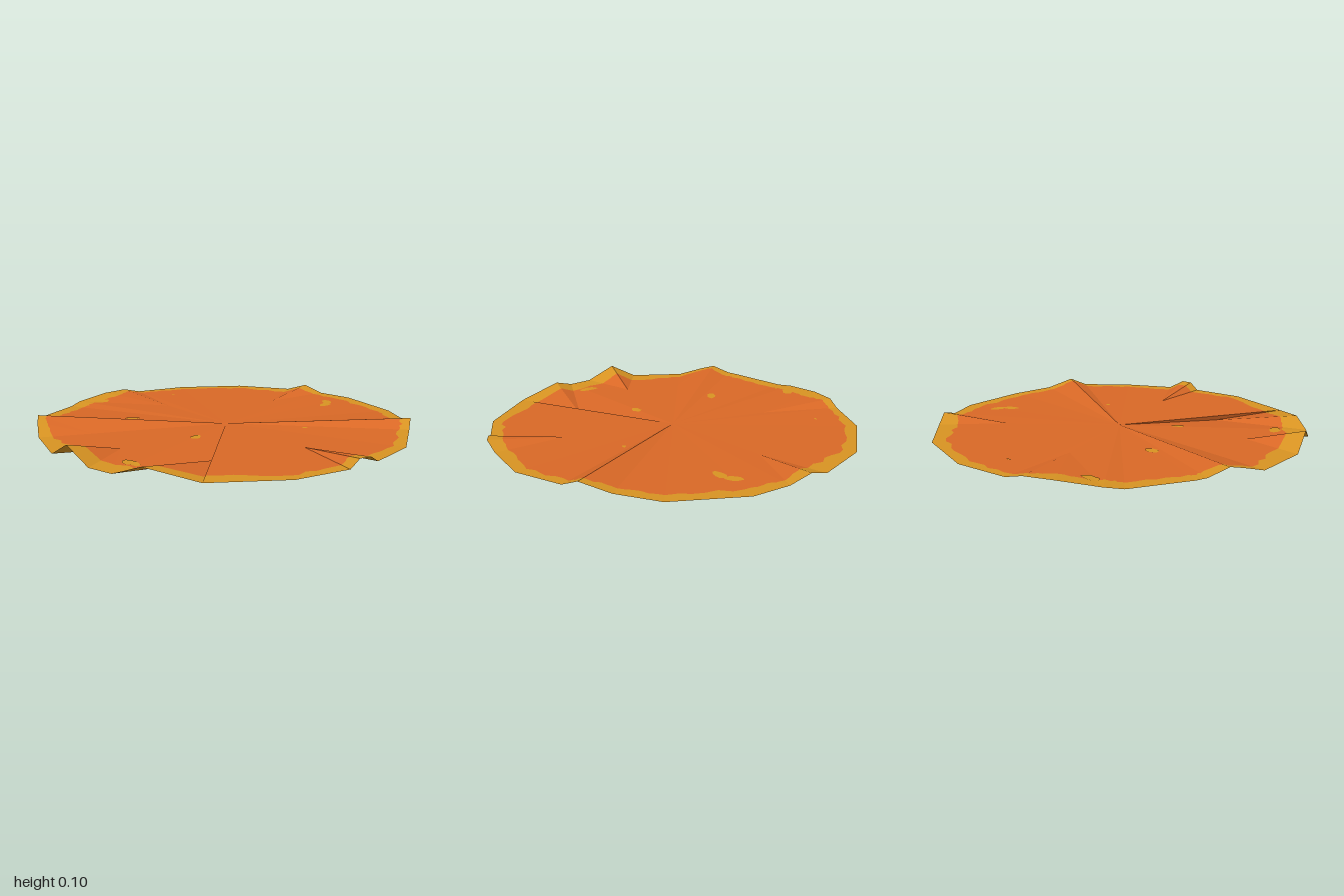
import * as THREE from 'three';

const orange = new THREE.MeshStandardMaterial({ name: 'orange', color: 0xd96826, side: THREE.DoubleSide, flatShading: true });
const amber = new THREE.MeshStandardMaterial({ name: 'amber', color: 0xd79322, side: THREE.DoubleSide, flatShading: true });

// Sections of the wavy disc in order round the rim.
// hub: inner end of a fold [x, y, z]; rim: points [x, y, z, border width].
// Each section starts at the last rim point of the one before it.
const CENTRE = [0, 0.027, 0];
const SECTIONS = [
  { rim: [[1, 0.027, 0, 0.08], [0.92, 0.027, 0.38, 0.07], [0.79, 0.04, 0.57, 0.06], [0.7, 0.08, 0.7, 0.05],
    [0.62, 0.04, 0.755, 0.05], [0.38, 0.027, 0.92, 0.06], [0.1, 0.027, 0.975, 0.07]] },
  { hub: [0, 0.027, 0.6], rim: [[0.02, 0.07, 1, 0.08], [-0.04, 0.07, 0.985, 0.07], [-0.09, 0.027, 0.975, 0.07]] },
  { rim: [[-0.38, 0.027, 0.92, 0.06], [-0.71, 0.027, 0.7, 0.1]] },
  { hub: [-0.41, 0, 0.42], rim: [[-0.86, 0.07, 0.46, 0.09], [-0.94, 0.027, 0.35, 0.13]] },
  { hub: [-0.7, 0.027, 0.045], rim: [[-0.98, 0.03, 0.22, 0.12], [-1, 0.105, 0.06, 0.1], [-1, 0.027, -0.09, 0.12]] },
  { rim: [[-0.92, 0.027, -0.39, 0.07]] },
  { hub: [-0.67, 0.027, -0.28], rim: [[-0.86, 0.07, -0.52, 0.06], [-0.82, 0.09, -0.59, 0.05]] },
  { rim: [[-0.75, 0.055, -0.67, 0.07], [-0.71, 0.05, -0.71, 0.08], [-0.46, 0.03, -0.89, 0.08], [-0.38, 0.04, -0.935, 0.1]] },
  { hub: [0, 0.027, -0.55], rim: [[-0.17, 0.055, -0.985, 0.1], [-0.02, 0.055, -1, 0.05], [0.08, 0.03, -0.985, 0.05]] },
  { rim: [[0.38, 0.027, -0.925, 0.06], [0.71, 0.027, -0.71, 0.07], [0.89, 0.027, -0.43, 0.1]] },
  { hub: [0.57, 0.027, -0.24], rim: [[0.94, 0.065, -0.32, 0.08], [0.96, 0.03, -0.2, 0.06]] },
  { rim: [[1, 0.027, 0, 0.08]] },
];

let seed = 7;
const random = () => (seed = (seed * 16807) % 2147483647) / 2147483647;
const mix = (a, b, t) => [0, 1, 2].map(i => a[i] + (b[i] - a[i]) * t);

function meshFrom(name, points, material) {
  const geometry = new THREE.BufferGeometry();
  geometry.setAttribute('position', new THREE.Float32BufferAttribute(points.flat(), 3));
  geometry.computeVertexNormals();
  const mesh = new THREE.Mesh(geometry, material);
  mesh.name = name;
  return mesh;
}

export function createModel() {
  const inner = [], border = [], facets = [];
  const add = (list, ...points) => points.forEach(p => list.push(p.slice(0, 3)));

  // The point on the border line, going from rim point a towards p
  const inset = (a, p) => mix(a, p, a[3] / Math.hypot(a[0] - p[0], a[1] - p[1], a[2] - p[2]));

  // Facet with two rim corners: inner wedge plus an uneven border strip
  function wedge(p, a, b) {
    facets.push([p, a, b]);
    const ia = inset(a, p), ib = inset(b, p), steps = 6;
    let lastIn = ia, lastOut = a;
    for (let i = 1; i <= steps; i++) {
      const t = i / steps;
      const out = mix(a, b, t);
      const wobble = i < steps ? (random() - 0.5) * 0.03 : 0;
      const cut = mix(mix(ia, ib, t), p, wobble);
      add(inner, p, cut, lastIn);
      add(border, lastIn, cut, out, lastIn, out, lastOut);
      lastIn = cut;
      lastOut = out;
    }
  }

  // Facet from the centre to the side of a fold, with one rim corner
  function flank(hub, a, flip) {
    facets.push([CENTRE, a, hub]);
    const toCentre = inset(a, CENTRE), toHub = inset(a, hub);
    const tris = [[CENTRE, hub, toHub], [CENTRE, toHub, toCentre]];
    const tip = [toCentre, toHub, a];
    tris.forEach(t => add(inner, ...(flip ? t.reverse() : t)));
    add(border, ...(flip ? tip.reverse() : tip));
  }

  let previous = null;
  for (const { hub, rim } of SECTIONS) {
    const points = previous ? [previous, ...rim] : rim;
    previous = points[points.length - 1];
    for (let i = 1; i < points.length; i++) wedge(hub || CENTRE, points[i - 1], points[i]);
    if (hub) {
      flank(hub, points[0], false);
      flank(hub, previous, true);
    }
  }

  // Height of the disc at x, z
  function heightAt(x, z) {
    for (const [a, b, c] of facets) {
      const d = (b[2] - c[2]) * (a[0] - c[0]) + (c[0] - b[0]) * (a[2] - c[2]);
      const u = ((b[2] - c[2]) * (x - c[0]) + (c[0] - b[0]) * (z - c[2])) / d;
      const v = ((c[2] - a[2]) * (x - c[0]) + (a[0] - c[0]) * (z - c[2])) / d;
      if (u >= -1e-6 && v >= -1e-6 && u + v <= 1 + 1e-6) return u * a[1] + v * b[1] + (1 - u - v) * c[1];
    }
    return CENTRE[1];
  }

  const group = new THREE.Group();
  group.name = 'wavyDisc';
  group.add(meshFrom('discFace', inner, orange), meshFrom('rimBorder', border, amber));

  // Blotches on both faces: x, z, half length, half width, turn
  const blotches = [
    [0.74, 0.045, 0.045, 0.025, -0.3], [0.8, 0, 0.045, 0.027, -0.9], [-0.36, -0.38, 0.045, 0.024, 0.4],
    [-0.295, 0.115, 0.033, 0.022, -0.3], [0.25, 0.355, 0.017, 0.011, 0], [0.205, -0.77, 0.014, 0.006, 0],
    [-0.79, 0.27, 0.055, 0.03, 1.4], [-0.28, -0.855, 0.05, 0.03, 0.3],
  ];
  for (const [x, z, length, width, turn] of blotches) {
    const outline = [];
    for (let i = 0; i < 12; i++) {
      const angle = (i / 12) * Math.PI * 2, size = 0.85 + random() * 0.3;
      const u = Math.cos(angle) * length * size, v = Math.sin(angle) * width * size;
      outline.push([x + u * Math.cos(turn) - v * Math.sin(turn), z + u * Math.sin(turn) + v * Math.cos(turn)]);
    }
    for (const side of [1, -1]) {
      const at = ([px, pz]) => [px, heightAt(px, pz) + side * 0.002, pz];
      const points = [];
      outline.forEach((p, i) => {
        const fan = [at([x, z]), at(outline[(i + 1) % 12]), at(p)];
        points.push(...(side > 0 ? fan : fan.reverse()));
      });
      group.add(meshFrom(side > 0 ? 'topBlotch' : 'undersideBlotch', points, amber));
    }
  }
  return group;
}
